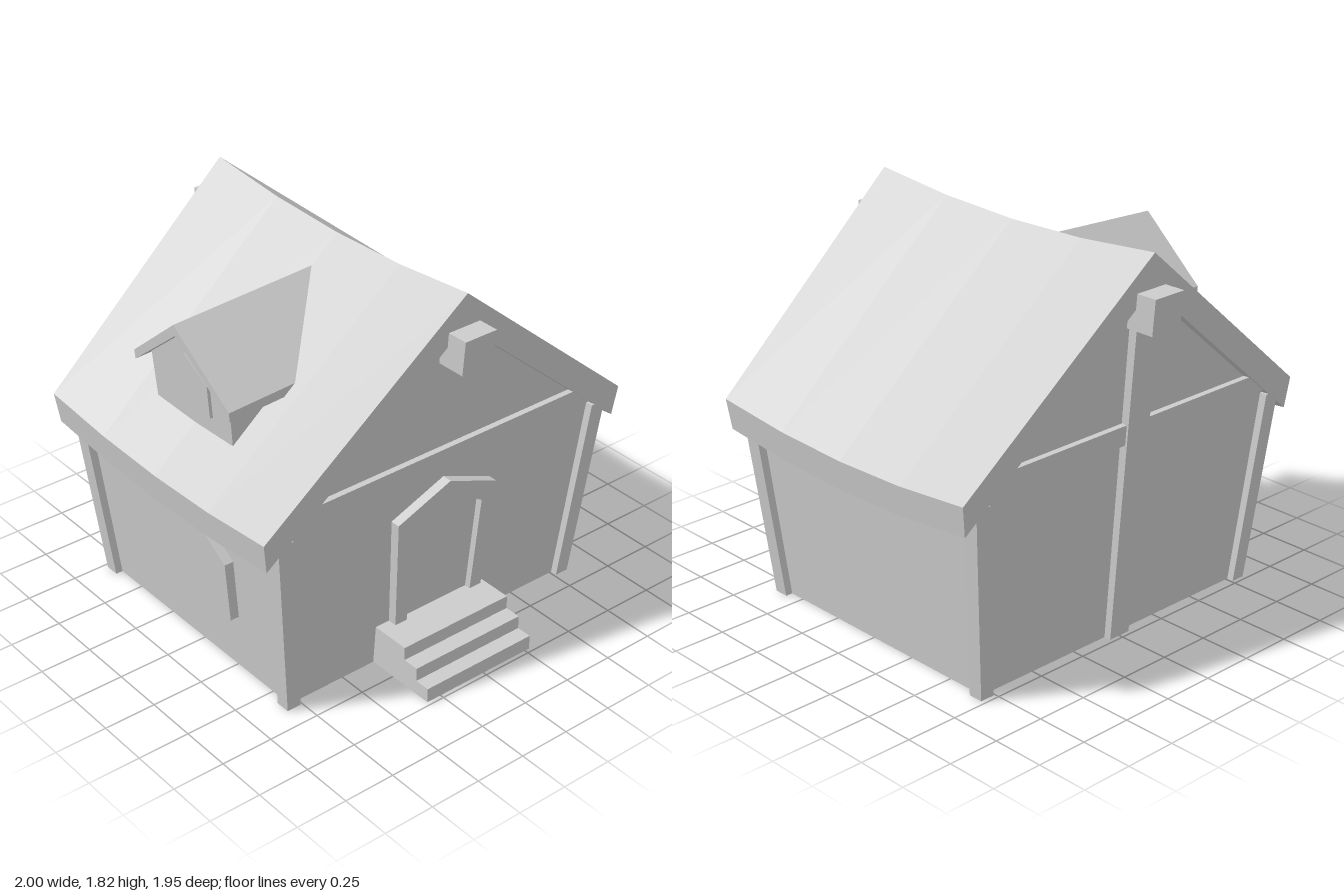
import * as THREE from 'three';

const material = new THREE.MeshStandardMaterial({ color: 0xcccccc, flatShading: true, side: THREE.DoubleSide });

// Everything in the house widens upwards by the same rule.
const widen = (y) => 1 + 0.12 * y;

function taper(geometry) {
  const p = geometry.attributes.position;
  for (let i = 0; i < p.count; i++) {
    const s = widen(p.getY(i));
    p.setX(i, p.getX(i) * s);
    p.setZ(i, p.getZ(i) * s);
  }
  return geometry;
}

function moveVertices(geometry, rule) {
  const p = geometry.attributes.position;
  const v = new THREE.Vector3();
  for (let i = 0; i < p.count; i++) {
    rule(v.fromBufferAttribute(p, i));
    p.setXYZ(i, v.x, v.y, v.z);
  }
  return geometry;
}

function add(parent, name, geometry) {
  const g = geometry.index ? geometry.toNonIndexed() : geometry;
  g.computeVertexNormals();
  const mesh = new THREE.Mesh(g, material);
  mesh.name = name;
  parent.add(mesh);
}

// Box given by its limits on each axis.
function box(x0, x1, y0, y1, z0, z1) {
  return new THREE.BoxGeometry(x1 - x0, y1 - y0, z1 - z0)
    .translate((x0 + x1) / 2, (y0 + y1) / 2, (z0 + z1) / 2);
}

const toPoints = (list) => list.map(([a, b]) => new THREE.Vector2(a, b));

// Outline in x,y extruded from z0 to z1.
function prismZ(outline, z0, z1, steps = 1, hole = null) {
  const shape = new THREE.Shape(toPoints(outline));
  if (hole) shape.holes.push(new THREE.Path(toPoints(hole)));
  return new THREE.ExtrudeGeometry(shape, { depth: z1 - z0, steps, bevelEnabled: false }).translate(0, 0, z0);
}

// Outline in z,y extruded from x0 to x1.
function prismX(outline, x0, x1) {
  return prismZ(outline.map(([z, y]) => [-z, y]), x0, x1).rotateY(Math.PI / 2);
}

// Symmetric outline from its right half, listed bottom to top; points on the axis are not doubled.
function mirrored(half) {
  const left = half.filter(([a]) => a !== 0).reverse().map(([a, b]) => [-a, b]);
  return [...half, ...left];
}

export function createModel() {
  const model = new THREE.Group();
  model.name = 'cottage';
  const house = new THREE.Group();
  house.name = 'house';
  house.position.z = -0.04;
  model.add(house);

  // Thin shell walls, open below
  const gable = mirrored([[0.795, 0], [0.795, 0.93], [0, 1.68]]);
  for (const s of [1, -1]) {
    const end = new THREE.ShapeGeometry(new THREE.Shape(toPoints(gable)));
    if (s < 0) end.rotateY(Math.PI);
    add(house, s > 0 ? 'frontWall' : 'backWall', taper(end.translate(0, 0, s * 0.655)));
    const side = new THREE.PlaneGeometry(1.31, 0.93).rotateY(s * Math.PI / 2).translate(s * 0.795, 0.465, 0);
    add(house, s > 0 ? 'leftWall' : 'rightWall', taper(side));
  }

  // Corner posts and tie beams
  for (const z of [0.653, -0.653]) {
    for (const x of [0.795, -0.795]) {
      add(house, 'cornerPost', taper(box(x - 0.035, x + 0.035, 0, 0.93, z - 0.035, z + 0.035)));
    }
    add(house, 'tieBeam', taper(box(-0.76, 0.76, 0.955, 1.05, z - 0.028, z + 0.028)));
  }
  add(house, 'backPost', taper(box(-0.058, 0.058, 0, 1.5, -0.69, -0.62)));
  add(house, 'ridgeBeam', taper(box(-0.071, 0.071, 1.49, 1.655, -0.775, 0.775)));

  // Main roof, sagging in the middle
  const roofOutline = [[0, 1.815], [-0.895, 0.975], [-0.891, 0.83], [0, 1.655], [0.891, 0.83], [0.895, 0.975]];
  const roof = moveVertices(prismZ(roofOutline, -0.69, 0.69, 4), (v) => {
    v.y -= 0.052 * (1 - (v.z / 0.69) ** 2);
  });
  add(house, 'roof', taper(roof));

  // Door with a pointed frame
  const doorOuter = mirrored([[0.244, 0.18], [0.257, 0.76], [0, 0.88]]);
  const doorInner = mirrored([[0.181, 0.18], [0.185, 0.69], [0, 0.82]]);
  doorInner[0][1] = doorInner[4 - 0][1] = 0.19;
  add(house, 'doorFrame', taper(prismZ(doorOuter, 0.64, 0.698, 1, doorInner)));
  add(house, 'door', taper(prismZ(doorInner, 0.645, 0.668)));

  // Side window with cut upper corners
  const sideWindow = mirrored([[0.33, 0.3], [0.33, 0.61], [0.21, 0.71]]);
  add(house, 'sideWindow', taper(prismX(sideWindow, -0.837, -0.785)));

  // Dormer: its inner end follows the slope of the main roof
  const dormer = new THREE.Group();
  dormer.name = 'dormer';
  house.add(dormer);
  const meetRoof = (v) => {
    if (v.x > -0.5) v.x = -(1.7 - v.y) / 0.84 / widen(v.y);
  };
  const dormerRoof = prismX([[0, 1.61], [0.293, 1.335], [0.293, 1.29], [0, 1.555], [-0.293, 1.29], [-0.293, 1.335]], -0.725, 0);
  moveVertices(dormerRoof, (v) => {
    meetRoof(v);
    v.y += 0.06 * (v.x + 0.725);
  });
  add(dormer, 'dormerRoof', taper(dormerRoof));
  const dormerBody = prismX(mirrored([[0.238, 1.08], [0.238, 1.35], [0, 1.57]]), -0.684, 0);
  add(dormer, 'dormerBody', taper(moveVertices(dormerBody, meetRoof)));
  const dormerWindow = mirrored([[0.125, 1.2], [0.125, 1.36], [0, 1.46]]);
  add(dormer, 'dormerWindow', taper(prismX(dormerWindow, -0.697, -0.66)));

  // Hollow entrance steps
  const steps = new THREE.Group();
  steps.name = 'entranceSteps';
  model.add(steps);
  const x0 = -0.325, x1 = 0.275, back = 0.6, t = 0.01;
  const fronts = [0.98, 0.905, 0.825];
  const tops = [0.07, 0.135, 0.2];
  const profile = [[back, 0]];
  fronts.forEach((z, i) => {
    const low = i ? tops[i - 1] : 0;
    const next = i < 2 ? fronts[i + 1] : back;
    profile.push([z, low], [z, tops[i]]);
    add(steps, 'riser', box(x0 + t, x1 - t, low, tops[i], z - t, z));
    add(steps, 'tread', box(x0 + t, x1 - t, tops[i] - t, tops[i], next - (i < 2 ? t : 0), z - t));
  });
  profile.push([back, tops[2]]);
  add(steps, 'stepSide', prismX(profile, x0, x0 + t));
  add(steps, 'stepSide', prismX(profile, x1 - t, x1));
  add(steps, 'stepBack', box(x0 + t, x1 - t, 0, tops[2] - t, back, back + t));

  return model;
}
